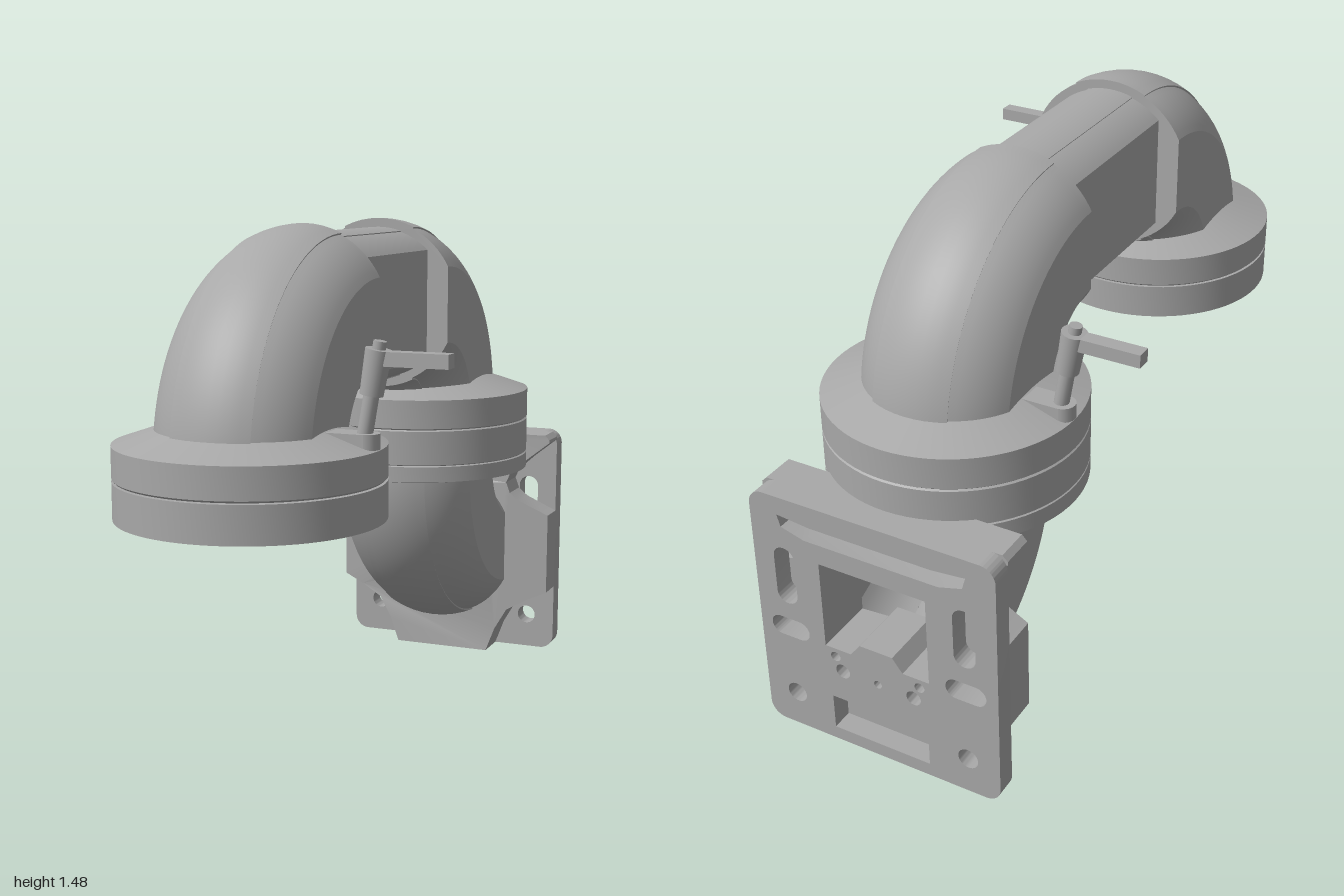
import * as THREE from 'three';
import { toCreasedNormals } from 'three/addons/utils/BufferGeometryUtils.js';

const grey = new THREE.MeshStandardMaterial({ color: 0xa8a8a8 });
grey.name = 'castGrey';
const greyOpen = new THREE.MeshStandardMaterial({ color: 0xa8a8a8, side: THREE.DoubleSide });
greyOpen.name = 'castGreyOpen';

function add(parent, name, geo, x = 0, y = 0, z = 0, mat = grey) {
  const m = new THREE.Mesh(geo, mat);
  m.name = name;
  m.position.set(x, y, z);
  parent.add(m);
  return m;
}

// Round section with flat sides at x = +-clip and a slightly raised band along top and bottom
function section(r, clip, band, raise) {
  const a0 = Math.acos(clip / r), a1 = Math.acos(band / r);
  const top = [];
  const arc = (from, to, rad) => {
    for (let i = 0; i <= 8; i++) {
      const a = from + (to - from) * i / 8;
      top.push(new THREE.Vector2(rad * Math.cos(a), rad * Math.sin(a)));
    }
  };
  arc(a0, a1, r);
  arc(a1, Math.PI - a1, r + raise);
  arc(Math.PI - a1, Math.PI - a0, r);
  return [...top, ...top.map(p => new THREE.Vector2(-p.x, -p.y))];
}

// Quarter bend: sweeps the section around the x axis, from +z to +y
function bend(pts, R, steps = 28) {
  const pos = [], idx = [], n = pts.length;
  for (let i = 0; i <= steps; i++) {
    const t = Math.PI / 2 * i / steps;
    for (const p of pts) pos.push(p.x, (R + p.y) * Math.sin(t), (R + p.y) * Math.cos(t));
  }
  for (let i = 0; i < steps; i++) for (let j = 0; j < n; j++) {
    const a = i * n + j, b = i * n + (j + 1) % n;
    idx.push(a, a + n, b, b, a + n, b + n);
  }
  const g = new THREE.BufferGeometry();
  g.setAttribute('position', new THREE.Float32BufferAttribute(pos, 3));
  g.setIndex(idx);
  // make the faces point away from the section's centre
  const A = new THREE.Vector3().fromArray(pos, 0);
  const B = new THREE.Vector3().fromArray(pos, n * 3);
  const C = new THREE.Vector3().fromArray(pos, 3);
  const normal = B.sub(A).cross(C.sub(A));
  if (normal.x * pts[0].x + normal.z * pts[0].y < 0) {
    for (let k = 0; k < idx.length; k += 3) [idx[k], idx[k + 1]] = [idx[k + 1], idx[k]];
    g.setIndex(idx);
  }
  return toCreasedNormals(g, 0.45);
}

const lathe = pts => toCreasedNormals(
  new THREE.LatheGeometry(pts.map(p => new THREE.Vector2(...p)), 72), 0.15);

const extrude = (shape, depth) => toCreasedNormals(
  new THREE.ExtrudeGeometry(shape, { depth, bevelEnabled: false, curveSegments: 16 }), 0.5);

const polygon = pts => new THREE.Path(pts.map(p => new THREE.Vector2(...p)));
const circle = (x, y, r) => new THREE.Path().absarc(x, y, r, 0, Math.PI * 2, true);

// Slot with round ends between two points
function slot(x0, y0, x1, y1, r) {
  const a = Math.atan2(y1 - y0, x1 - x0);
  const p = new THREE.Path();
  p.absarc(x1, y1, r, a - Math.PI / 2, a + Math.PI / 2, false);
  p.absarc(x0, y0, r, a + Math.PI / 2, a + Math.PI * 1.5, false);
  p.closePath();
  return p;
}

// Clamp lever standing on a joint, handle towards +x
function clampLever() {
  const g = new THREE.Group();
  g.name = 'clampLever';
  add(g, 'leverFoot', new THREE.BoxGeometry(0.12, 0.04, 0.07), 0.265, 0.96, 0);
  add(g, 'leverFootEnd', new THREE.CylinderGeometry(0.035, 0.035, 0.04, 20), 0.32, 0.96, 0);
  const stem = new THREE.Group();
  stem.name = 'leverStem';
  stem.position.set(0.315, 0.97, 0);
  stem.rotation.z = -0.17;
  g.add(stem);
  add(stem, 'leverRod', new THREE.CylinderGeometry(0.02, 0.02, 0.13, 16), 0, 0.06, 0);
  add(stem, 'leverHub', new THREE.CylinderGeometry(0.034, 0.03, 0.115, 20), 0, 0.165, 0);
  add(stem, 'leverPin', new THREE.CylinderGeometry(0.017, 0.017, 0.03, 16), 0, 0.228, 0);
  add(g, 'leverHandle', new THREE.BoxGeometry(0.195, 0.036, 0.042), 0.4425, 1.167, 0);
  return g;
}

export function createModel() {
  const root = new THREE.Group();
  root.name = 'swivelArm';
  const zFront = 0.647, zRear = -0.568, R = 0.338;

  // Elbows
  const sec = section(0.247, 0.22, 0.108, 0.005);
  const elbow = bend(sec, R);
  add(root, 'frontElbow', elbow, 0, 0.89, 0.31, greyOpen);
  add(root, 'rearElbow', elbow, 0, 0.89, -0.23, greyOpen).rotation.y = Math.PI;
  add(root, 'lowerElbow', elbow, 0, 0.7, -0.905, greyOpen).rotation.z = Math.PI;
  const cap = new THREE.ShapeGeometry(new THREE.Shape(sec));
  add(root, 'frontElbowCap', cap, 0, 0.89 + R, 0.31, greyOpen);
  add(root, 'rearElbowCap', cap, 0, 0.89 + R, -0.23, greyOpen);

  // Straight tube between the elbows
  const tube = new THREE.Shape(section(0.223, 0.155, 0.07, 0.003));
  add(root, 'crossTube', extrude(tube, 0.54), 0, 0.89 + R, -0.23);

  // Front joint: upper ring and drilled lower ring
  add(root, 'frontJointTop', lathe([[0, 0.848], [0.348, 0.848], [0.353, 0.853], [0.353, 0.937],
    [0.22, 0.982], [0, 0.985]]), 0, 0, zFront);
  const ring = new THREE.Shape().absarc(0, 0, 0.353, 0, Math.PI * 2, false);
  const lobe = Math.asin(0.04 / 0.075);
  const key = new THREE.Path();
  key.moveTo(0.13, -0.04);
  key.lineTo(0.13, 0.04);
  key.absarc(0, 0, 0.075, lobe, Math.PI - lobe, false);
  key.lineTo(-0.13, 0.04);
  key.lineTo(-0.13, -0.04);
  key.absarc(0, 0, 0.075, Math.PI + lobe, Math.PI * 2 - lobe, false);
  key.closePath();
  ring.holes.push(key);
  for (let i = 0; i < 4; i++) {
    const a = Math.PI / 4 + i * Math.PI / 2;
    ring.holes.push(circle(0.22 * Math.cos(a), 0.22 * Math.sin(a), 0.013));
  }
  const lower = new THREE.ExtrudeGeometry(ring, { depth: 0.1, bevelEnabled: false, curveSegments: 36 });
  add(root, 'frontJointBase', toCreasedNormals(lower, 0.5), 0, 0.845, zFront).rotation.x = Math.PI / 2;

  // Rear joint: three stacked rings with fine seams
  add(root, 'rearJoint', lathe([[0, 0.663], [0.25, 0.665], [0.353, 0.686], [0.353, 0.733],
    [0.348, 0.736], [0.353, 0.739], [0.353, 0.842], [0.348, 0.846], [0.353, 0.85],
    [0.353, 0.937], [0.22, 0.982], [0, 0.985]]), 0, 0, zRear);

  // Clamp levers
  const leverA = clampLever();
  leverA.position.z = zFront;
  const leverB = clampLever();
  leverB.position.z = zRear - 0.008;
  leverB.rotation.y = Math.PI;
  root.add(leverA, leverB);

  // Wall plate: rear slab with mounting holes and pockets
  const w = 0.365, h = 0.755, c = 0.045;
  const slab = new THREE.Shape();
  slab.absarc(w - c, c, c, -Math.PI / 2, 0, false);
  slab.absarc(w - c, h - c, c, 0, Math.PI / 2, false);
  slab.absarc(-w + c, h - c, c, Math.PI / 2, Math.PI, false);
  slab.absarc(-w + c, c, c, Math.PI, Math.PI * 1.5, false);
  slab.closePath();
  const opening = [[-0.16, 0.32], [-0.08, 0.32], [-0.05, 0.36], [0.05, 0.36], [0.08, 0.32],
    [0.16, 0.32], [0.16, 0.585], [-0.16, 0.585]];
  slab.holes.push(polygon(opening));
  slab.holes.push(polygon([[-0.15, 0.04], [0.15, 0.04], [0.15, 0.15], [0.06, 0.15],
    [0.03, 0.175], [-0.03, 0.175], [-0.06, 0.15], [-0.15, 0.15]]));
  slab.holes.push(polygon([[-0.28, 0.7], [-0.27, 0.665], [-0.2, 0.645], [0.2, 0.645],
    [0.27, 0.665], [0.28, 0.7], [0.18, 0.69], [-0.18, 0.69]]));
  slab.holes.push(circle(0, 0.25, 0.012));
  for (const s of [-1, 1]) {
    slab.holes.push(circle(s * 0.27, 0.112, 0.03));
    slab.holes.push(slot(s * 0.27, 0.45, s * 0.27, 0.565, 0.032));
    slab.holes.push(slot(s * 0.24, 0.335, s * 0.3, 0.335, 0.03));
    slab.holes.push(circle(s * 0.11, 0.25, 0.022));
    slab.holes.push(circle(s * 0.13, 0.293, 0.015));
  }
  add(root, 'wallPlateSlab', extrude(slab, 0.06), 0, 0, -1);

  // Wall plate: raised front body, cut away around the screw positions
  const half = [[0.16, 0], [0.19, 0.08], [0.23, 0.15], [0.3, 0.19], [w, 0.22], [w, 0.485],
    [0.265, 0.53], [0.235, 0.555], [0.222, 0.59], [0.235, 0.62], [0.29, 0.67],
    [w, 0.73], [w, 0.74], [0.35, h]];
  const body = new THREE.Shape([...half, ...half.map(p => [-p[0], p[1]]).reverse()]
    .map(p => new THREE.Vector2(...p)));
  body.holes.push(polygon(opening));
  const bodyGeo = new THREE.ExtrudeGeometry(body, { depth: 0.12, bevelEnabled: false });
  const p = bodyGeo.attributes.position;
  for (let i = 0; i < p.count; i++) {
    if (p.getZ(i) > 0.1) p.setZ(i, 0.125 - 0.03 * Math.abs(p.getX(i)) / w);
  }
  add(root, 'wallPlateBody', toCreasedNormals(bodyGeo, 0.4), 0, 0, -0.94);
  return root;
}
